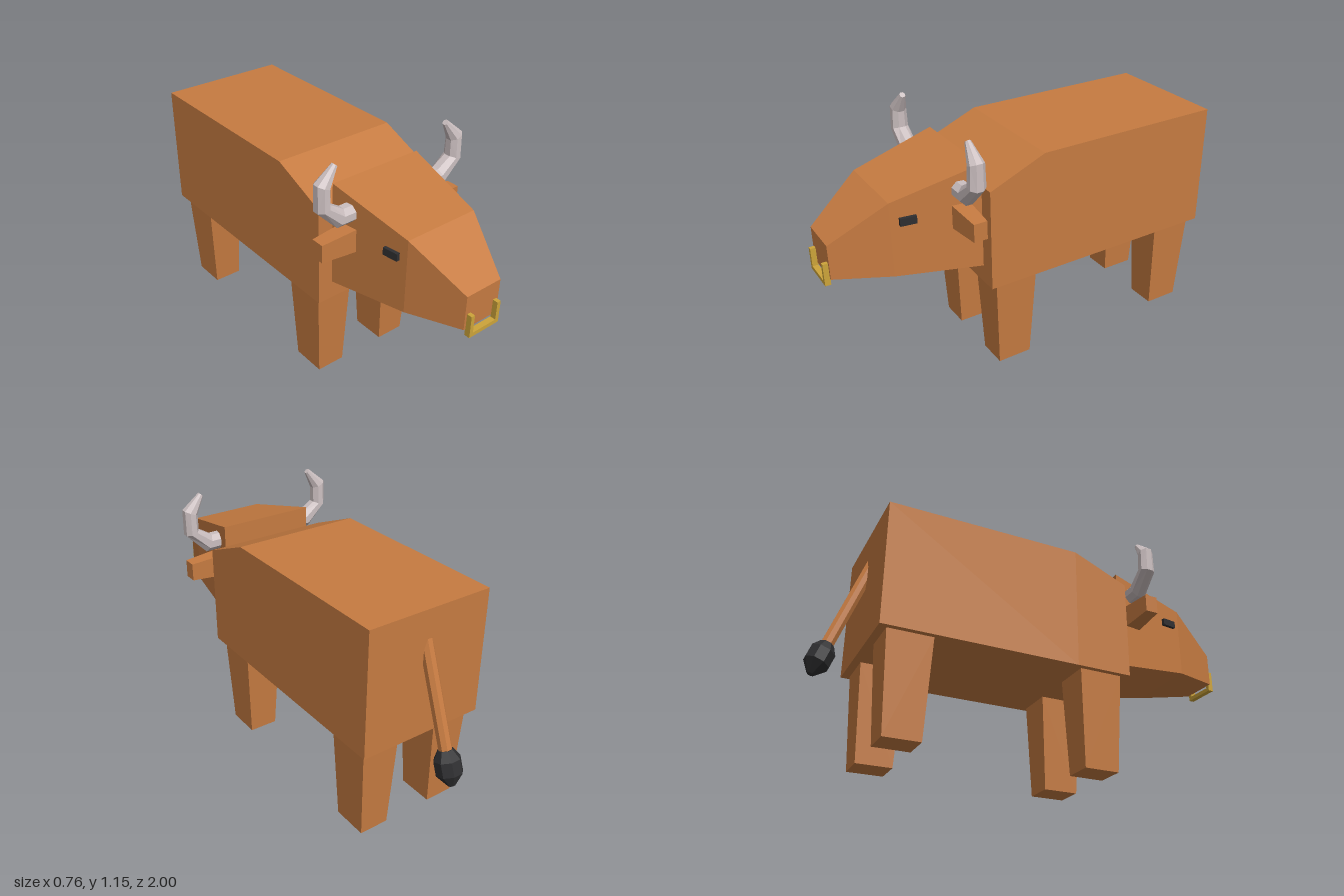
import * as THREE from 'three';

const mat = (name, color) => Object.assign(new THREE.MeshStandardMaterial({ color }), { name });
const V = (x, y, z) => new THREE.Vector3(x, y, z);

// Closed faceted solid through a list of matching rings, wound outward
function loft(rings) {
  const tris = [];
  const n = rings[0].length, last = rings[rings.length - 1];
  for (let r = 0; r < rings.length - 1; r++) {
    const a = rings[r], b = rings[r + 1];
    for (let i = 0; i < n; i++) {
      const j = (i + 1) % n;
      tris.push([a[i], a[j], b[j]], [a[i], b[j], b[i]]);
    }
  }
  for (let i = 1; i < n - 1; i++) {
    tris.push([rings[0][0], rings[0][i + 1], rings[0][i]], [last[0], last[i], last[i + 1]]);
  }
  const centre = rings[0][0];
  let volume = 0;
  for (const t of tris) {
    const [a, b, c] = t.map(p => p.clone().sub(centre));
    volume += a.dot(b.cross(c));
  }
  if (volume < 0) tris.forEach(t => t.reverse());
  const geo = new THREE.BufferGeometry().setFromPoints(tris.flat());
  geo.computeVertexNormals();
  return geo;
}

// Rectangular rings across each axis
const rectZ = (z, hw, y0, y1) => [V(-hw, y0, z), V(hw, y0, z), V(hw, y1, z), V(-hw, y1, z)];
const rectY = (y, x0, x1, z0, z1) => [V(x0, y, z0), V(x1, y, z0), V(x1, y, z1), V(x0, y, z1)];
const rectX = (x, y0, y1, z0, z1) => [V(x, y0, z0), V(x, y1, z0), V(x, y1, z1), V(x, y0, z1)];

// Eight-sided ring between an inner and outer point in the xy plane
function hornRing([ox, oy, ix, iy, depth], s, z) {
  const k = 1 / Math.cos(Math.PI / 8);
  return Array.from({ length: 8 }, (_, i) => {
    const a = (i + 0.5) * Math.PI / 4;
    const u = Math.cos(a) * k / 2;
    return V(s * ((ox + ix) / 2 + (ox - ix) * u), (oy + iy) / 2 + (oy - iy) * u, z + Math.sin(a) * k * depth);
  });
}

export function createModel() {
  const hide = mat('brown hide', 0xc67b41);
  const horn = mat('pale horn', 0xcbbfc0);
  const dark = mat('dark hair', 0x2e2e30);
  const gold = mat('gold', 0xcda43a);

  const model = new THREE.Group();
  model.name = 'bull';
  const add = (name, geo, material, parent = model) => {
    const mesh = new THREE.Mesh(geo, material);
    mesh.name = name;
    parent.add(mesh);
    return mesh;
  };

  // Body with sloping shoulders, and wedge-shaped head
  add('body', loft([rectZ(-0.785, 0.295, 0.44, 1.008), rectZ(0.1, 0.295, 0.44, 1.008), rectZ(0.36, 0.295, 0.44, 0.9)]), hide);
  add('head', loft([rectZ(0.36, 0.225, 0.522, 0.996), rectZ(0.742, 0.175, 0.573, 0.906), rectZ(0.977, 0.09, 0.593, 0.748)]), hide);

  const hornProfile = [
    [0.19, 0.866, 0.19, 0.942, 0.037],
    [0.286, 0.866, 0.255, 0.942, 0.037],
    [0.38, 0.963, 0.319, 0.982, 0.036],
    [0.38, 1.08, 0.319, 1.054, 0.033],
    [0.299, 1.149, 0.281, 1.133, 0.012],
  ];

  for (const [side, s] of [['left', 1], ['right', -1]]) {
    // Tapered legs
    for (const [end, z] of [['Front', 0.225], ['Back', -0.65]]) {
      add(side + end + 'Leg', loft([
        rectY(0, s * 0.115, s * 0.25, z - 0.08, z + 0.08),
        rectY(0.441, s * 0.095, s * 0.27, z - 0.1, z + 0.1),
      ]), hide);
    }
    // Ear, horn and eye
    add(side + 'Ear', loft([
      rectX(s * 0.19, 0.733, 0.84, 0.409, 0.489),
      rectX(s * 0.372, 0.745, 0.826, 0.419, 0.479),
    ]), hide);
    add(side + 'Horn', loft(hornProfile.map(p => hornRing(p, s, 0.449))), horn);
    const eye = add(side + 'Eye', new THREE.BoxGeometry(0.022, 0.033, 0.07), dark);
    eye.position.set(s * 0.189, 0.819, 0.672);
    eye.rotation.y = -s * 0.13;
  }

  // Nose ring
  const ring = new THREE.Group();
  ring.name = 'noseRing';
  model.add(ring);
  add('ringBase', new THREE.BoxGeometry(0.16, 0.018, 0.025), gold, ring).position.set(0, 0.573, 0.9875);
  for (const s of [-1, 1]) {
    add('ringSide', new THREE.BoxGeometry(0.018, 0.082, 0.025), gold, ring).position.set(s * 0.071, 0.623, 0.9875);
  }

  // Tail hanging backward, ending in a dark tuft
  const tail = new THREE.Group();
  tail.name = 'tail';
  tail.position.set(0, 0.805, -0.785);
  tail.rotation.x = 0.355;
  model.add(tail);
  const rod = (name, profile, material) => {
    const k = 1 / Math.cos(Math.PI / 8);
    add(name, loft(profile.map(([y, r]) => Array.from({ length: 8 }, (_, i) => {
      const a = (i + 0.5) * Math.PI / 4;
      return V(Math.cos(a) * r * k, y, Math.sin(a) * r * k);
    }))), material, tail);
  };
  rod('tailCord', [[0.07, 0.026], [-0.4, 0.026]], hide);
  rod('tailTuft', [[-0.382, 0.029], [-0.422, 0.052], [-0.482, 0.052], [-0.535, 0.014]], dark);

  return model;
}
